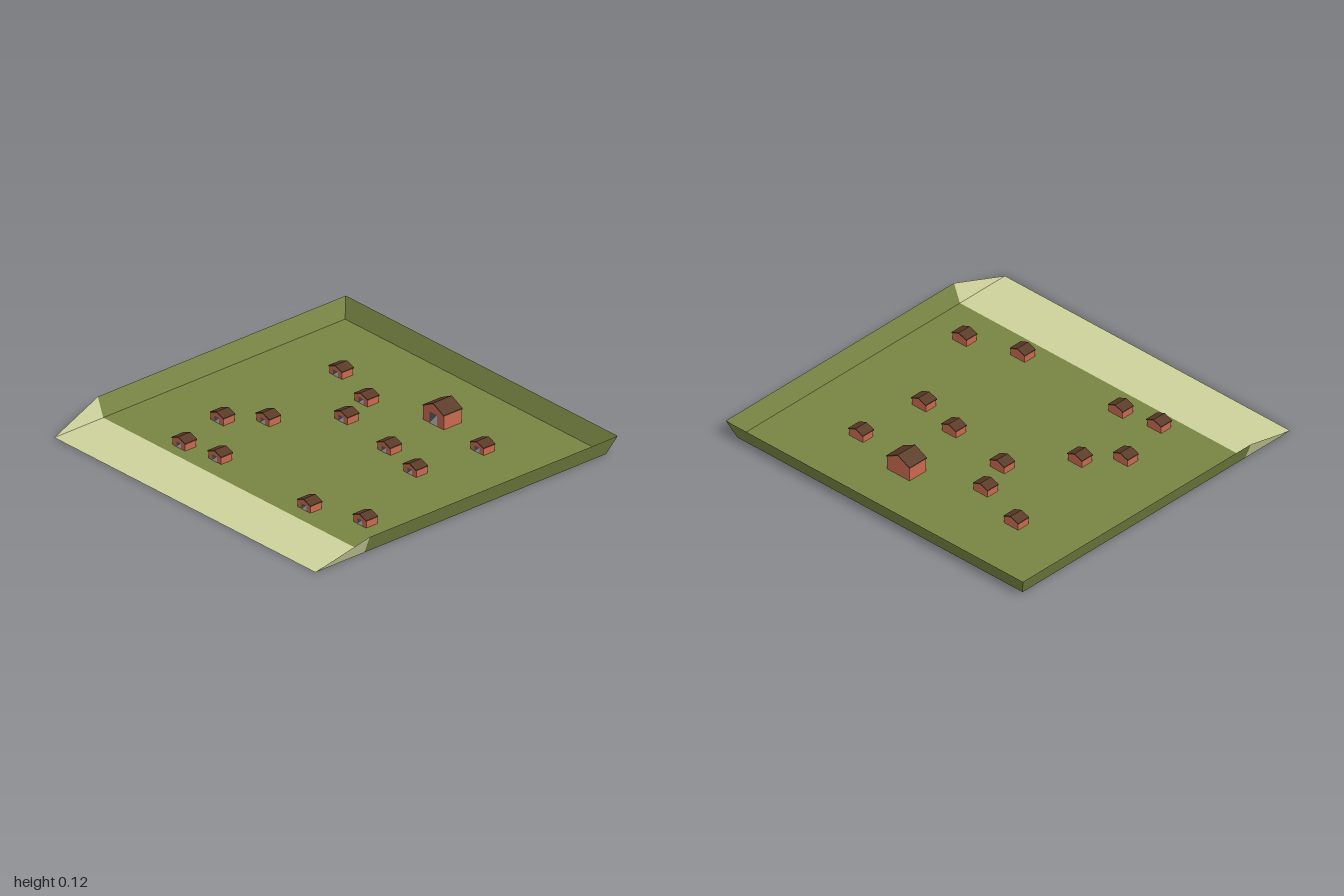
import * as THREE from 'three';

const mat = (name, color, side = THREE.FrontSide) => {
  const m = new THREE.MeshStandardMaterial({ color, side });
  m.name = name;
  return m;
};

// Flat surface made of polygons, each a loop of corners
function faces(name, material, polygons) {
  const pos = [];
  for (const p of polygons)
    for (let i = 1; i < p.length - 1; i++) pos.push(...p[0], ...p[i], ...p[i + 1]);
  const g = new THREE.BufferGeometry();
  g.setAttribute('position', new THREE.Float32BufferAttribute(pos, 3));
  g.computeVertexNormals();
  const mesh = new THREE.Mesh(g, material);
  mesh.name = name;
  return mesh;
}

// Extrusion along z, centred on z = 0
function prism(name, material, points, depth) {
  const shape = new THREE.Shape(points.map(([x, y]) => new THREE.Vector2(x, y)));
  const g = new THREE.ExtrudeGeometry(shape, { depth, bevelEnabled: false });
  g.translate(0, 0, -depth / 2);
  const mesh = new THREE.Mesh(g, material);
  mesh.name = name;
  return mesh;
}

export function createModel() {
  const grass = mat('grass green', 0x788543, THREE.DoubleSide);
  const sand = mat('pale sand', 0xced29b, THREE.DoubleSide);
  const brick = mat('brick red', 0xc9694e);
  const roofMat = mat('roof brown', 0x583924);
  const darkGrey = mat('door grey', 0x55595c, THREE.DoubleSide);
  const lightGrey = mat('door light grey', 0xb4bbc0, THREE.DoubleSide);

  const model = new THREE.Group();
  model.name = 'village';

  // Tray-shaped ground: floor, outward leaning banks and a beach at the front
  const X = 0.96, TOP = 1, H = 0.1, BACK = -0.93, RIM = -0.97, SHORE = 0.65, FRONT = 0.97;
  model.add(faces('grassFloor', grass, [[[-X, 0, SHORE], [X, 0, SHORE], [X, 0, BACK], [-X, 0, BACK]]]));
  model.add(faces('beach', sand, [[[-X, 0, FRONT], [X, 0, FRONT], [X, 0, SHORE], [-X, 0, SHORE]]]));
  model.add(faces('backBank', grass, [[[-X, 0, BACK], [X, 0, BACK], [TOP, H, RIM], [-TOP, H, RIM]]]));
  for (const s of [1, -1]) {
    const bank = [[s * X, 0, BACK], [s * X, 0, SHORE], [s * TOP, H, SHORE], [s * TOP, H, RIM]];
    const end = [[s * X, 0, SHORE], [s * X, 0, FRONT], [s * TOP, H, SHORE]];
    if (s < 0) { bank.reverse(); end.reverse(); }
    model.add(faces(s > 0 ? 'leftBank' : 'rightBank', grass, [bank]));
    model.add(faces(s > 0 ? 'leftBeachBank' : 'rightBeachBank', sand, [end]));
  }

  // House: w and d are the roof's size, eave and ridge its heights
  function house(name, x, z, w, d, eave, ridge, doorW, doorH) {
    const g = new THREE.Group();
    g.name = name;
    const t = 0.006, a = w / 2 - 0.003, b = w / 2;
    const wallD = d - 0.006, zf = wallD / 2 + 0.001, dw = doorW / 2;
    g.add(prism('walls', brick, [[-a, 0], [a, 0], [a, eave - t / 2], [0, ridge - t], [-a, eave - t / 2]], wallD));
    g.add(prism('roof', roofMat, [[-b, eave - t], [0, ridge - t], [b, eave - t], [b, eave], [0, ridge], [-b, eave]], d));
    // two-tone door, split on the diagonal
    g.add(faces('doorUpper', darkGrey, [[[-dw, 0, zf], [dw, doorH, zf], [-dw, doorH, zf]]]));
    g.add(faces('doorLower', lightGrey, [[[-dw, 0, zf], [dw, 0, zf], [dw, doorH, zf]]]));
    g.position.set(x, 0.001, z);
    model.add(g);
  }

  house('hall', 0.168, -0.564, 0.157, 0.123, 0.08, 0.119, 0.055, 0.062);
  const spots = [
    [-0.535, -0.527], [-0.233, -0.425], [-0.155, -0.225], [0.227, -0.165],
    [0.487, -0.104], [0.53, -0.505], [-0.393, 0.075], [-0.55, 0.235],
    [-0.473, 0.553], [-0.25, 0.516], [0.428, 0.535], [0.727, 0.436],
  ];
  spots.forEach(([x, z], i) => house(`cottage${i + 1}`, x, z, 0.1, 0.078, 0.042, 0.061, 0.035, 0.031));

  return model;
}
